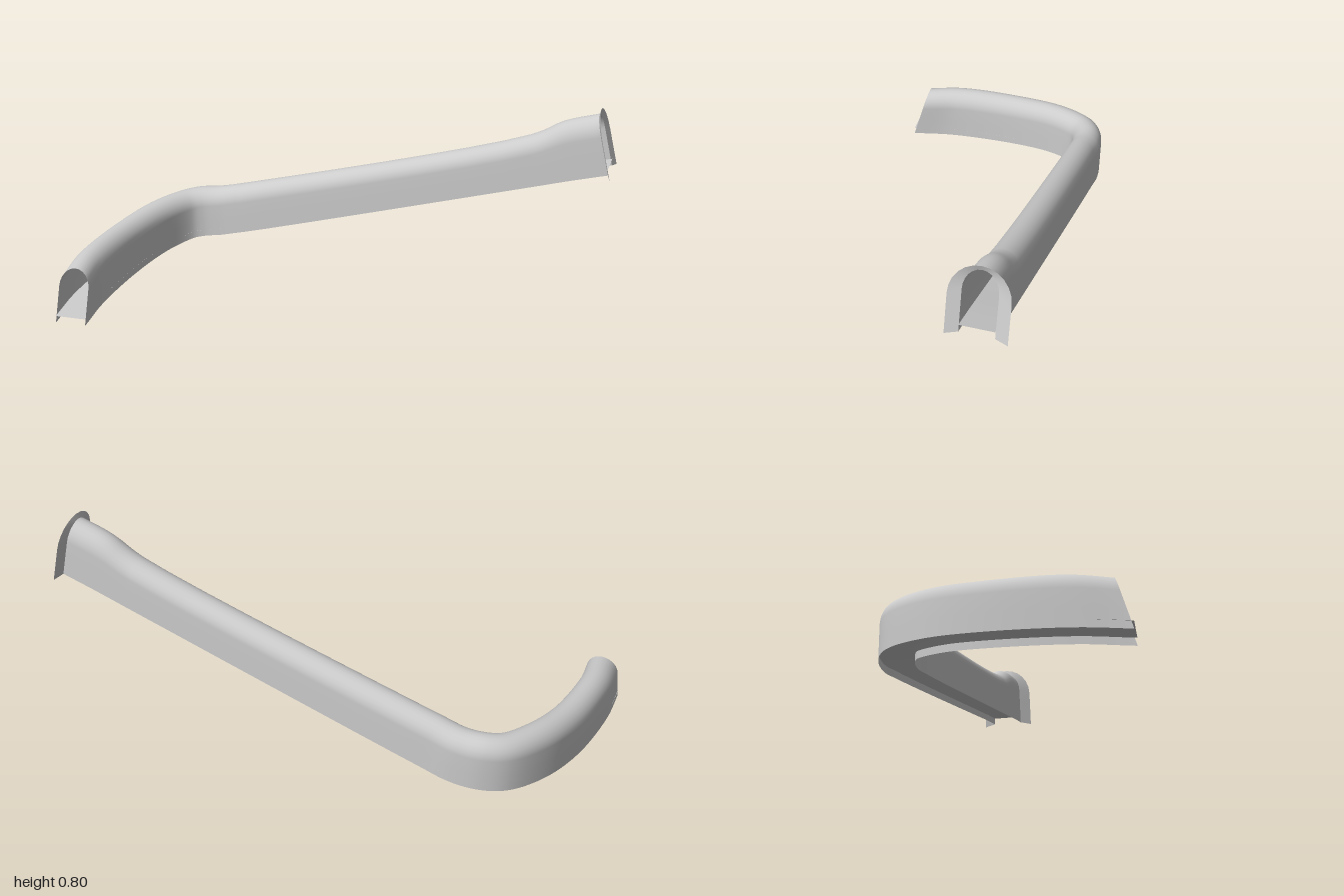
import * as THREE from 'three';

const material = new THREE.MeshStandardMaterial({ color: 0xcccccc, side: THREE.DoubleSide });

// Smooth open surface through rows of points
function loft(name, rows) {
  const cols = rows[0].length, index = [];
  for (let i = 0; i < rows.length - 1; i++) {
    for (let j = 0; j < cols - 1; j++) {
      const a = i * cols + j, b = a + cols;
      index.push(a, a + 1, b, b, a + 1, b + 1);
    }
  }
  const geometry = new THREE.BufferGeometry().setFromPoints(rows.flat());
  geometry.setIndex(index);
  geometry.computeVertexNormals();
  const mesh = new THREE.Mesh(geometry, material);
  mesh.name = name;
  return mesh;
}

// Arch outline as [sideways -1..1, height 0..1]: straight legs and a rounded crown
function archProfile(legHeight, segments = 12) {
  const points = [[-1, 0], [-1, legHeight / 2]];
  for (let i = 0; i <= segments; i++) {
    const a = Math.PI * (1 - i / segments);
    points.push([Math.cos(a), legHeight + (1 - legHeight) * Math.sin(a)]);
  }
  points.push([1, legHeight / 2], [1, 0]);
  return points;
}

// Arch placed between a base point and a crown point
function archRow(profile, base, crown, side, halfWidth) {
  return profile.map(([u, v]) => base.clone().lerp(crown, v).addScaledVector(side, u * halfWidth));
}

export function createModel() {
  const group = new THREE.Group();
  group.name = 'bentChannel';

  // Stations along the channel: base x, y, z then crown x, y, z
  const stations = [
    [-0.93, 0, 0.472, -0.925, 0.21, 0.41],
    [-0.94, 0.018, 0.29, -0.94, 0.23, 0.26],
    [-0.915, 0.044, 0, -0.915, 0.25, -0.01],
    [-0.86, 0.068, -0.2, -0.86, 0.272, -0.2],
    [-0.785, 0.085, -0.325, -0.787, 0.285, -0.325],
    [-0.72, 0.092, -0.363, -0.73, 0.293, -0.363],
    [-0.63, 0.102, -0.378, -0.65, 0.3, -0.378],
    [-0.5, 0.134, -0.378, -0.55, 0.323, -0.378],
    [0.7, 0.473, -0.378, 0.67, 0.665, -0.378],
    [0.85, 0.516, -0.378, 0.8, 0.735, -0.378],
    [0.985, 0.552, -0.378, 0.93, 0.775, -0.378],
  ];
  const baseCurve = new THREE.CatmullRomCurve3(stations.map(s => new THREE.Vector3(s[0], s[1], s[2])));
  const crownCurve = new THREE.CatmullRomCurve3(stations.map(s => new THREE.Vector3(s[3], s[4], s[5])));

  const halfWidth = 0.061, profile = archProfile(0.66);
  const wallRows = [], floorRows = [], steps = 80;
  for (let i = 0; i <= steps; i++) {
    const t = i / steps;
    const base = baseCurve.getPoint(t), crown = crownCurve.getPoint(t);
    const tangent = baseCurve.getTangent(t);
    const side = new THREE.Vector3(-tangent.z, 0, tangent.x).normalize();
    wallRows.push(archRow(profile, base, crown, side, halfWidth));
    // Floor sits a little above the wall edges
    floorRows.push([-1, 1].map(u =>
      base.clone().addScaledVector(side, u * halfWidth).add(new THREE.Vector3(0, 0.028, 0))));
  }
  group.add(loft('archedWall', wallRows), loft('floor', floorRows));

  // Flat arched flange around the raised end
  const outer = archRow(archProfile(0.56), new THREE.Vector3(0.998, 0.545, -0.378),
    new THREE.Vector3(0.936, 0.795, -0.378), new THREE.Vector3(0, 0, 1), 0.106);
  group.add(loft('endFlange', [wallRows[steps], outer]));

  return group;
}
